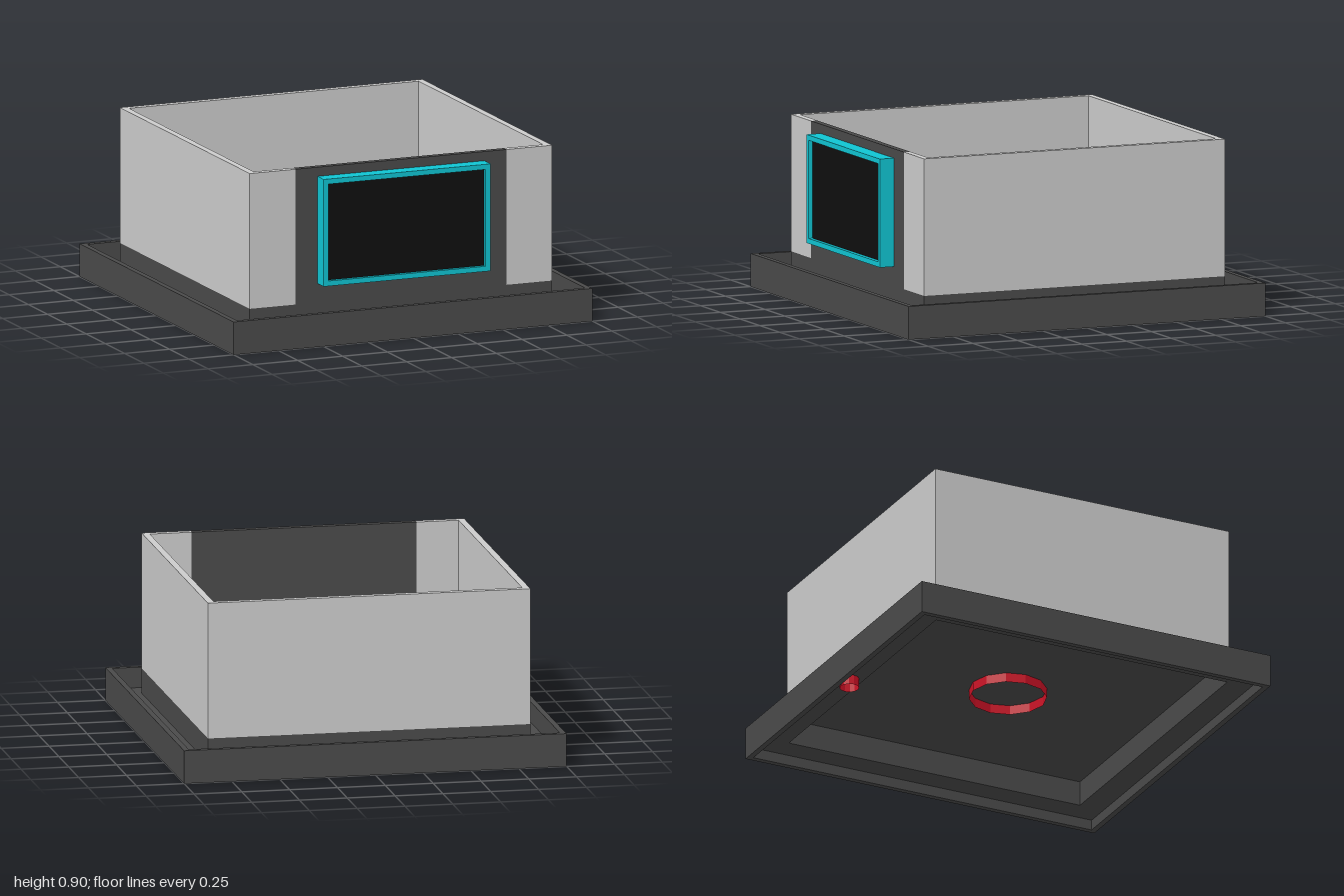
import * as THREE from 'three';

const material = (color) => new THREE.MeshStandardMaterial({ color, flatShading: true, side: THREE.DoubleSide });

// Closed outline in plan; p holds [x, z] pairs
const outline = (p, Kind = THREE.Shape) => new Kind(p.map(([x, z]) => new THREE.Vector2(x, -z)));
const square = (r) => [[-r, -r], [r, -r], [r, r], [-r, r]];

// Raise a plan shape from y0 to y1
function raise(shape, y0, y1) {
  const g = new THREE.ExtrudeGeometry(shape, { depth: y1 - y0, bevelEnabled: false });
  return g.rotateX(-Math.PI / 2).translate(0, y0, 0);
}

// Square ring
function ring(outer, inner, y0, y1) {
  const shape = outline(square(outer));
  shape.holes.push(outline(square(inner), THREE.Path));
  return raise(shape, y0, y1);
}

export function createModel() {
  const model = new THREE.Group();
  model.name = 'displayBox';
  const grey = material(0xcccccc);
  const dark = material(0x4a4a4a);
  const teal = material(0x10c4d2);
  const black = material(0x0f0f0f);
  const red = material(0xcc1226);

  const add = (name, geometry, mat, parent = model) => {
    const mesh = new THREE.Mesh(geometry, mat);
    mesh.name = name;
    parent.add(mesh);
    return mesh;
  };

  // Base: rim, sunken channel, raised plinth with a hollow underside
  const base = new THREE.Group();
  base.name = 'base';
  model.add(base);
  add('rim', ring(1, 0.97, 0, 0.172), dark, base);
  add('channelFloor', ring(0.97, 0.835, 0.055, 0.065), dark, base);
  add('plinthSkirt', ring(0.843, 0.835, 0.055, 0.195), dark, base);
  add('floor', raise(outline(square(0.835)), 0.187, 0.195), dark, base);

  // Walls on three sides, turning the front corners and leaving a gap
  const o = 0.843, i = 0.807, gap = 0.588;
  const walls = [
    [gap, o], [o, o], [o, -o], [-o, -o], [-o, o], [-gap, o],
    [-gap, i], [-i, i], [-i, -i], [i, -i], [i, i], [gap, i],
  ];
  add('walls', raise(outline(walls), 0.195, 0.905), grey);

  // Front panel filling the gap
  const panel = [[-gap, i], [gap, i], [gap, o], [-gap, o]];
  add('frontPanel', raise(outline(panel), 0.187, 0.905), dark);

  // Screen: frame around a slightly recessed display
  const screen = new THREE.Group();
  screen.name = 'screen';
  screen.position.set(0, 0.576, o);
  model.add(screen);
  const w = 0.465, h = 0.281, border = 0.027;
  const rect = (a, b) => [[-a, -b], [a, -b], [a, b], [-a, b]];
  const frame = outline(rect(w, h));
  frame.holes.push(outline(rect(w - border, h - border), THREE.Path));
  add('screenFrame', new THREE.ExtrudeGeometry(frame, { depth: 0.08, bevelEnabled: false }), teal, screen);
  add('display', new THREE.BoxGeometry(2 * (w - border), 2 * (h - border), 0.058), black, screen)
    .position.z = 0.029;

  // Round plugs passing through the floors, open underneath
  const plug = (name, r, y0, y1, z) => {
    const group = new THREE.Group();
    group.name = name;
    group.position.z = z;
    model.add(group);
    add('plugSide', new THREE.CylinderGeometry(r, r, y1 - y0, 12, 1, true), red, group)
      .position.y = (y0 + y1) / 2;
    add('plugTop', new THREE.CircleGeometry(r, 12).rotateX(-Math.PI / 2), red, group)
      .position.y = y1;
  };
  plug('centrePlug', 0.2, 0.137, 0.245, 0);
  plug('rearPlug', 0.05, 0.003, 0.112, -0.91);

  return model;
}
